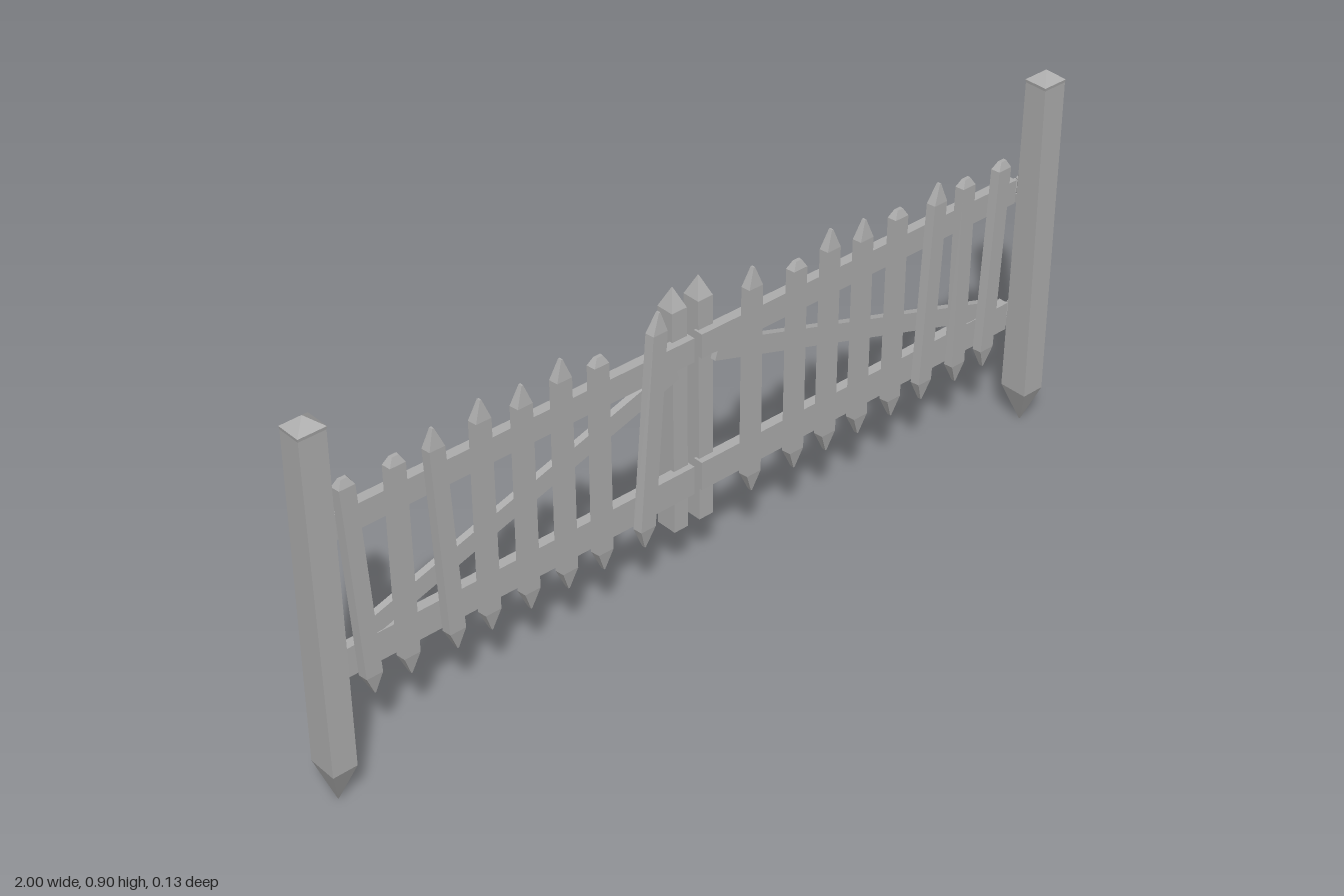
import * as THREE from 'three';

const wood = new THREE.MeshStandardMaterial({ color: 0xaeaeae, flatShading: true });
wood.name = 'weathered grey';

// Joins horizontal rings [y, [[x, z], ...]] (bottom to top) into a closed solid
function loft(rings) {
  const n = rings[0][1].length;
  const pos = [], index = [];
  rings.forEach(([y, pts]) => pts.forEach(([x, z]) => pos.push(x, y, z)));
  for (let r = 0; r < rings.length - 1; r++) {
    for (let i = 0; i < n; i++) {
      const a = r * n + i, b = r * n + (i + 1) % n;
      index.push(a, b, b + n, a, b + n, a + n);
    }
  }
  const top = (rings.length - 1) * n;
  for (let i = 1; i < n - 1; i++) {
    index.push(0, i + 1, i);
    index.push(top, top + i, top + i + 1);
  }
  const g = new THREE.BufferGeometry();
  g.setAttribute('position', new THREE.Float32BufferAttribute(pos, 3));
  g.setIndex(index);
  const flat = g.toNonIndexed();
  flat.computeVertexNormals();
  return flat;
}

// Rectangle ring: centre cx, cz and half sizes hx, hz
const rect = (cx, cz, hx, hz) => [
  [cx + hx, cz + hz], [cx + hx, cz - hz], [cx - hx, cz - hz], [cx - hx, cz + hz],
];

export function createModel() {
  const gate = new THREE.Group();
  gate.name = 'picketGate';

  const add = (name, geometry, parent = gate) => {
    const m = new THREE.Mesh(geometry, wood);
    m.name = name;
    parent.add(m);
    return m;
  };
  const box = (name, w, h, d, x, y, z, parent) => {
    const m = add(name, new THREE.BoxGeometry(w, h, d), parent);
    m.position.set(x, y, z);
    return m;
  };

  // Picket with a flat back, slightly narrower front, pointed foot and pointed or blunt head
  function picket(name, xBottom, xTop, top) {
    const blunt = top < 0.72;
    const foot = 0.19;
    const ring = (y, sx, sz) => {
      const c = xBottom + (xTop - xBottom) * (y - foot) / (top - foot);
      const w = 0.022 * sx, f = 0.0195 * sx, mid = 0.011, t = 0.011 * sz;
      return [y, [[c + f, mid + t], [c + w, mid - t], [c - w, mid - t], [c - f, mid + t]]];
    };
    add(name, loft([
      ring(foot, 0.08, 0.4),
      ring(0.237, 1, 1),
      ring(blunt ? top - 0.018 : top - 0.045, 0.95, 1),
      ring(top, blunt ? 0.4 : 0.1, 0.4),
    ]));
  }

  // Bottom x, top x and top height of each picket
  const pickets = [
    [-0.85, -0.88, 0.715], [-0.762, -0.764, 0.71], [-0.648, -0.675, 0.73], [-0.562, -0.562, 0.742],
    [-0.462, -0.462, 0.73], [-0.364, -0.364, 0.745], [-0.27, -0.27, 0.71], [-0.16, -0.115, 0.745],
    [0.138, 0.138, 0.745], [0.262, 0.262, 0.71], [0.357, 0.357, 0.745], [0.453, 0.453, 0.73],
    [0.555, 0.555, 0.715], [0.65, 0.675, 0.73], [0.758, 0.76, 0.71], [0.848, 0.872, 0.71],
  ];
  pickets.forEach((p, i) => picket('picket' + (i + 1), ...p));

  // Hinge strap with a pointed inner end
  function strapGeometry(s) {
    const shape = new THREE.Shape();
    const outline = [[0.945, -0.016], [0.945, 0.016], [0.63, 0.016], [0.6, 0.013], [0.568, 0], [0.6, -0.013], [0.63, -0.016]];
    outline.forEach(([x, y], i) => (i ? shape.lineTo(s * x, y) : shape.moveTo(s * x, y)));
    return new THREE.ExtrudeGeometry(shape, { depth: 0.007, bevelEnabled: false });
  }

  function hinge(s, y) {
    const g = new THREE.Group();
    g.name = s > 0 ? 'leftHinge' : 'rightHinge';
    g.position.y = y;
    gate.add(g);
    add('strap', strapGeometry(s), g).position.z = -0.032;
    // Bent eye wrapped around the pin
    const bend = box('strapBend', 0.034, 0.032, 0.007, s * 0.956, 0, -0.023, g);
    bend.rotation.y = -s * 0.5;
    add('eye', new THREE.CylinderGeometry(0.011, 0.011, 0.036, 8), g).position.set(s * 0.969, 0, -0.016);
    add('pin', new THREE.CylinderGeometry(0.007, 0.007, 0.075, 8), g).position.set(s * 0.969, -0.012, -0.016);
    box('pinBracket', 0.02, 0.022, 0.026, s * 0.969, -0.032, -0.009, g);
    for (const x of [0.65, 0.74, 0.83, 0.91]) {
      const bolt = add('bolt', new THREE.CylinderGeometry(0.005, 0.005, 0.005, 6), g);
      bolt.rotation.x = Math.PI / 2;
      bolt.position.set(s * x, 0, -0.033);
    }
  }

  for (const s of [1, -1]) {
    const side = s > 0 ? 'left' : 'right';

    // Outer post: sharpened foot, slight taper, low pyramid cap
    const px = s * 0.968;
    add(side + 'Post', loft([
      [0, rect(px, 0.033, 0.001, 0.001)],
      [0.09, rect(px, 0.0315, 0.029, 0.0355)],
      [0.875, rect(px, 0.033, 0.031, 0.028)],
      [0.882, rect(px, 0.033, 0.032, 0.029)],
      [0.905, rect(px, 0.033, 0.001, 0.001)],
    ]));

    // Meeting stile at the middle, pointed above and blunt below
    const sx = s * 0.035;
    add(side + 'Stile', loft([
      [0.143, rect(sx, -0.04, 0.004, 0.004)],
      [0.157, rect(sx, -0.04, 0.019, 0.0265)],
      [0.7, rect(sx, -0.039, 0.02, 0.022)],
      [0.745, rect(sx, -0.039, 0.001, 0.001)],
    ]));

    // Horizontal rails
    box(side + 'TopRail', 0.925, 0.058, 0.024, s * 0.4725, 0.603, -0.012);
    box(side + 'BottomRail', 0.925, 0.07, 0.024, s * 0.4725, 0.279, -0.012);

    // Diagonal brace rising towards the middle
    const run = 0.795, rise = 0.247;
    const brace = box(side + 'Brace', Math.hypot(run, rise), 0.045, 0.016, s * 0.4525, 0.4485, -0.01);
    brace.rotation.z = -s * Math.atan2(rise, run);

    hinge(s, 0.601);
    hinge(s, 0.279);
  }
  return gate;
}
